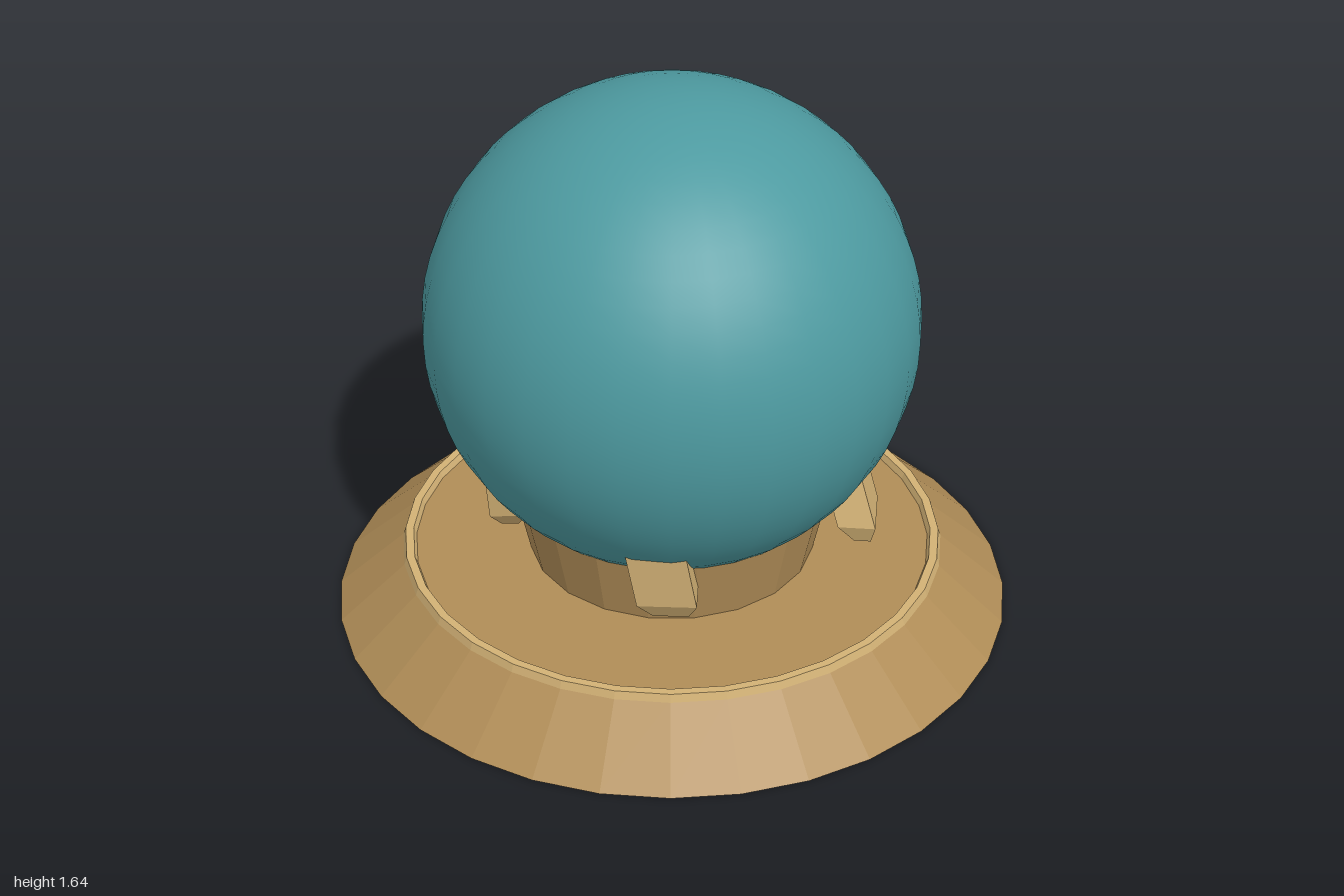
import * as THREE from 'three';

const brown = new THREE.MeshStandardMaterial({ color: 0xb08d57 });
brown.name = 'brown wood';
const gold = new THREE.MeshStandardMaterial({ color: 0xd2b175 });
gold.name = 'pale brass';
const teal = new THREE.MeshStandardMaterial({ color: 0x4d9aa0 });
teal.name = 'teal glass';

// Gives every face its own normal
function faceted(geometry) {
  const flat = geometry.toNonIndexed();
  flat.computeVertexNormals();
  return flat;
}

function addMesh(parent, name, geometry, material, y = 0) {
  const mesh = new THREE.Mesh(geometry, material);
  mesh.name = name;
  mesh.position.y = y;
  parent.add(mesh);
  return mesh;
}

// Block with a tapered lower tip, leaning by (leanX, leanZ) from top to bottom
function claspGeometry(yaw, leanX, leanZ) {
  const height = 0.245;
  const geometry = new THREE.BoxGeometry(0.17, height, 0.11, 1, 2, 1);
  const p = geometry.attributes.position;
  for (let i = 0; i < p.count; i++) {
    const level = p.getY(i);
    if (level < -0.01) {
      p.setX(i, p.getX(i) * 0.6);
      p.setZ(i, p.getZ(i) * 0.45);
    } else if (level < 0.01) {
      p.setY(i, -0.065);
    }
  }
  geometry.rotateY(yaw);
  for (let i = 0; i < p.count; i++) {
    const t = 0.5 - p.getY(i) / height;
    p.setX(i, p.getX(i) + leanX * (t - 0.5));
    p.setZ(i, p.getZ(i) + leanZ * (t - 0.5));
  }
  return faceted(geometry);
}

export function createModel() {
  const model = new THREE.Group();
  model.name = 'orbOnStand';

  // Sloped base and its raised rim
  addMesh(model, 'base', faceted(new THREE.CylinderGeometry(0.8, 1, 0.18, 32)), brown, 0.09);
  const rimProfile = [[0.804, 0.176], [0.796, 0.2], [0.772, 0.2], [0.762, 0.176]]
    .map(([r, y]) => new THREE.Vector2(r, y));
  addMesh(model, 'rim', faceted(new THREE.LatheGeometry(rimProfile, 32)), gold);

  // Flared pedestal under the orb
  addMesh(model, 'pedestal', faceted(new THREE.CylinderGeometry(0.472, 0.422, 0.23, 20)), brown, 0.285);

  // Orb
  addMesh(model, 'orb', new THREE.SphereGeometry(0.715, 32, 32), teal, 0.926);

  // Four clasps: x, z, lean in x, lean in z
  const clasps = [
    [0.34, 0.41, 0, 0.1],
    [0.34, -0.41, 0, -0.1],
    [-0.36, 0.33, 0.04, 0.02],
    [-0.36, -0.33, 0.04, -0.02],
  ];
  for (const [x, z, leanX, leanZ] of clasps) {
    const yaw = Math.atan2(x, z);
    const clasp = addMesh(model, 'clasp', claspGeometry(yaw, leanX, leanZ), gold, 0.373);
    clasp.position.x = x;
    clasp.position.z = z;
  }
  return model;
}
